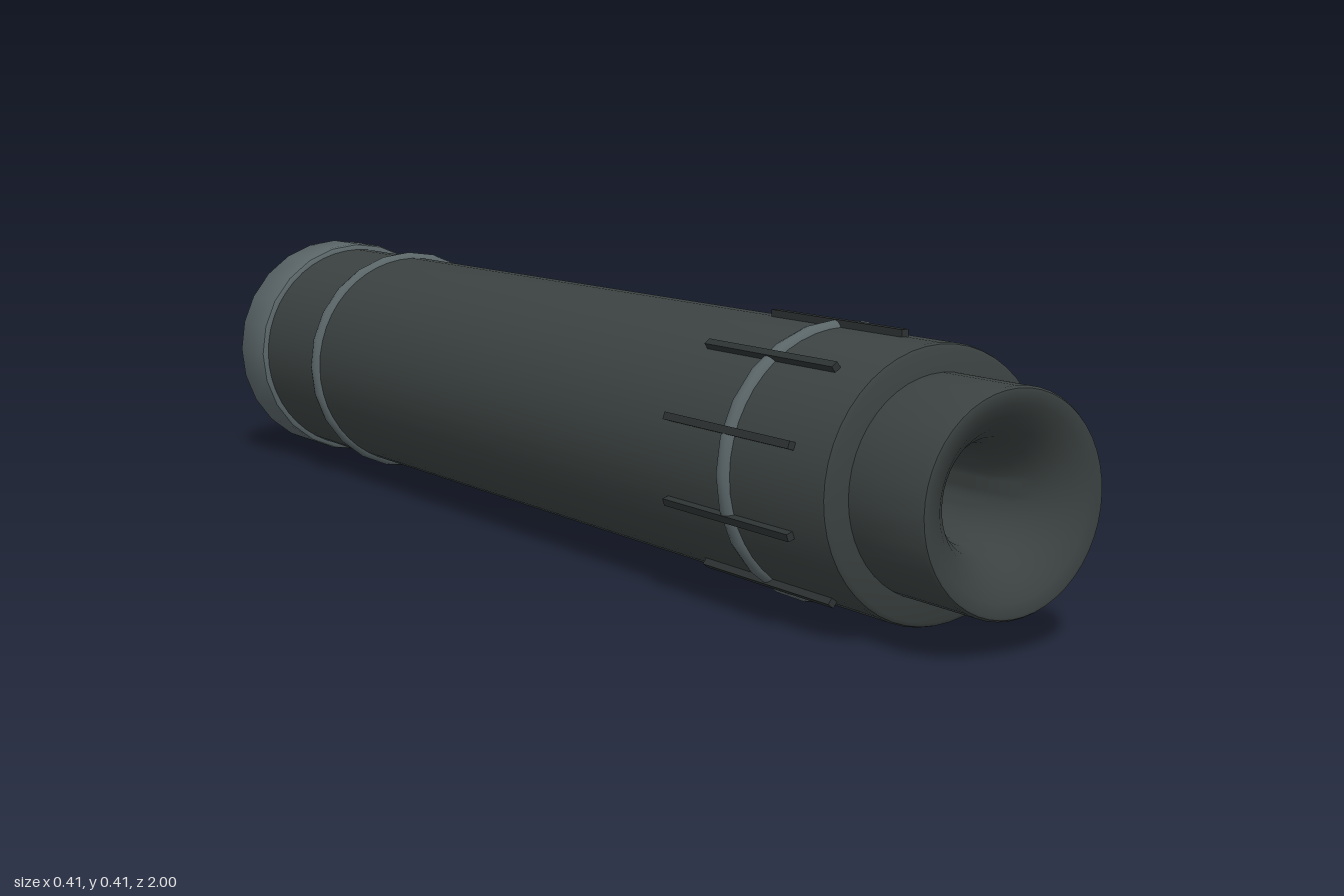
import * as THREE from 'three';
import { toCreasedNormals } from 'three/addons/utils/BufferGeometryUtils.js';

const CENTRE_Y = 0.204;
const BORE = 0.06;

export function createModel() {
  const group = new THREE.Group();
  const body = new THREE.MeshStandardMaterial({ name: 'charcoal', color: 0x3a4140 });
  const steel = new THREE.MeshStandardMaterial({ name: 'steel grey', color: 0x5a6568 });
  const dark = new THREE.MeshStandardMaterial({ name: 'dark charcoal', color: 0x2d3232 });

  const add = (name, geometry, material) => {
    const mesh = new THREE.Mesh(geometry, material);
    mesh.name = name;
    mesh.position.y = CENTRE_Y;
    group.add(mesh);
    return mesh;
  };

  // Revolve [radius, z] pairs about the long axis, keeping sharp edges
  const turn = (profile, sides) => {
    const points = profile.map(([r, z]) => new THREE.Vector2(r, z));
    const lathe = new THREE.LatheGeometry(points, sides).rotateX(Math.PI / 2);
    return toCreasedNormals(lathe, 0.6);
  };

  // Main tube with softened front shoulder
  add('mainTube', turn([
    [BORE, -0.92], [0.185, -0.92], [0.192, -0.91],
    [0.192, 0.842], [0.19, 0.848], [0.184, 0.852], [0.1, 0.852],
  ], 48), body);

  // Narrow front collar with a flared mouth running into the bore
  add('frontCollar', turn([
    [0.153, 0.84], [0.153, 0.994], [0.15, 0.999], [0.146, 1.0],
    [0.13, 0.995], [0.112, 0.984], [0.095, 0.968], [0.08, 0.946],
    [0.069, 0.918], [0.062, 0.885], [BORE, 0.85], [BORE, -0.92],
  ], 48), body);

  // Rear cap with rounded rims and a central hole
  add('rearCap', turn([
    [BORE, -0.9], [BORE, -1], [0.192, -1], [0.199, -0.997], [0.203, -0.99],
    [0.203, -0.9], [0.201, -0.893], [0.195, -0.889], [0.18, -0.889],
  ], 24), steel);

  // Raised bands around the tube
  for (const [name, z] of [['frontBand', 0.628], ['rearBand', -0.672]]) {
    add(name, new THREE.TorusGeometry(0.187, 0.015, 12, 24), steel).position.z = z;
  }

  // Ten grip ribs spaced around the front section
  for (let i = 0; i < 10; i++) {
    const rib = new THREE.BoxGeometry(0.011, 0.02, 0.295);
    rib.translate(0, 0.192, 0.627).rotateZ((i * Math.PI) / 5);
    add('gripRib', rib, dark);
  }

  return group;
}
